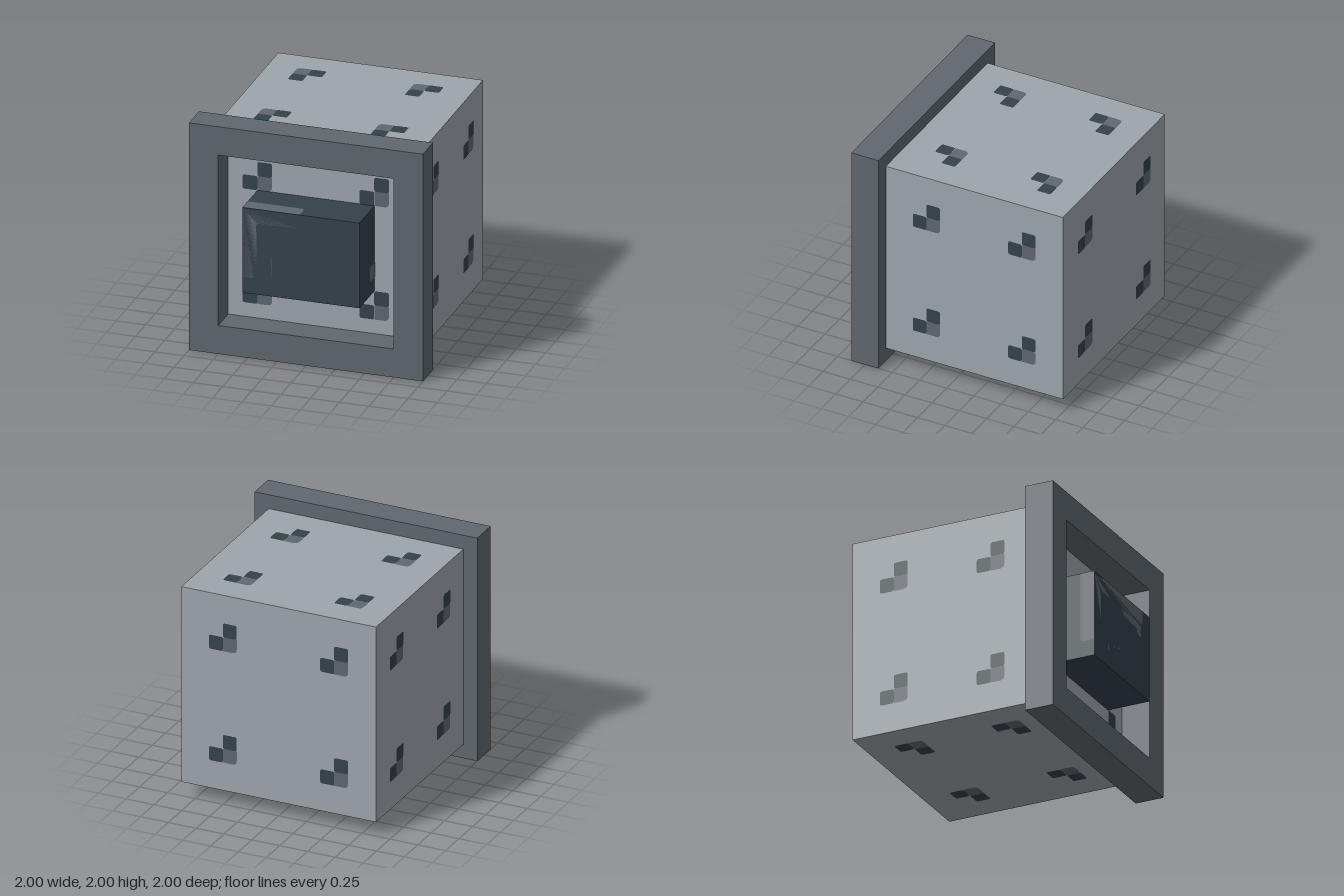
import * as THREE from 'three';

const mat = (name, color) => {
  const m = new THREE.MeshStandardMaterial({ color });
  m.name = name;
  return m;
};

// Polygon with softened corners; points are [x, y, radius] in counter-clockwise order
function roundedShape(points) {
  const shape = new THREE.Shape();
  const n = points.length;
  const toward = (a, b, r) => {
    const len = Math.hypot(b[0] - a[0], b[1] - a[1]);
    return [a[0] + (b[0] - a[0]) * r / len, a[1] + (b[1] - a[1]) * r / len];
  };
  points.forEach((p, i) => {
    const r = p[2] || 0;
    const start = toward(p, points[(i + n - 1) % n], r);
    const end = toward(p, points[(i + 1) % n], r);
    if (i === 0) shape.moveTo(...start); else shape.lineTo(...start);
    if (r > 0) shape.quadraticCurveTo(p[0], p[1], ...end);
  });
  shape.closePath();
  return shape;
}

const rect = (x0, y0, x1, y1, r = [0, 0, 0, 0]) =>
  roundedShape([[x0, y0, r[0]], [x1, y0, r[1]], [x1, y1, r[2]], [x0, y1, r[3]]]);

export function createModel() {
  const model = new THREE.Group();
  model.name = 'framedBlock';
  const light = mat('lightGrey', 0x9da5ac);
  const mid = mat('midGrey', 0x5f676e);
  const dark = mat('darkSlate', 0x35414a);

  const add = (parent, name, geometry, material, x = 0, y = 0, z = 0) => {
    const mesh = new THREE.Mesh(geometry, material);
    mesh.name = name;
    mesh.position.set(x, y, z);
    parent.add(mesh);
    return mesh;
  };
  const paint = (parent, name, shape, material, lift = 0.003) =>
    add(parent, name, new THREE.ShapeGeometry(shape, 4), material, 0, 0, lift);

  // Main body
  add(model, 'body', new THREE.BoxGeometry(1.75, 1.75, 1.625), light, 0, 1, -0.1875);

  // Square front frame
  const frameShape = rect(-1, -1, 1, 1);
  frameShape.holes.push(rect(-0.75, -0.75, 0.75, 0.75));
  const frameGeometry = new THREE.ExtrudeGeometry(frameShape, { depth: 0.25, bevelEnabled: false });
  add(model, 'frontFrame', frameGeometry, mid, 0, 1, 0.625);

  // Three-cell marks, four on every face of the body
  const c = 0.125, s = 0.018;
  const dent = rect(0, -c, c, 0, [0, 0.04, 0, 0]);
  const lowCell = rect(-c, -c, 0, 0, [s, s, s, s]);
  const highCell = rect(0, 0, c, c, [s, s, s, s]);
  const H = Math.PI / 2;
  const faces = [
    { name: 'front', pos: [0, 1, 0.625], rot: [0, 0], us: [-0.5, 0.5], vs: [-0.5, 0.5], turn: 0 },
    { name: 'back', pos: [0, 1, -1], rot: [0, Math.PI], us: [-0.5, 0.5], vs: [-0.5, 0.5], turn: 0 },
    { name: 'left', pos: [0.875, 1, 0], rot: [0, H], us: [-0.25, 0.625], vs: [-0.5, 0.5], turn: 0 },
    { name: 'right', pos: [-0.875, 1, 0], rot: [0, -H], us: [-0.625, 0.25], vs: [-0.5, 0.5], turn: 0 },
    { name: 'top', pos: [0, 1.875, 0], rot: [-H, 0], us: [-0.5, 0.5], vs: [-0.25, 0.625], turn: Math.PI },
    { name: 'bottom', pos: [0, 0.125, 0], rot: [H, 0], us: [-0.5, 0.5], vs: [-0.625, 0.25], turn: Math.PI },
  ];
  for (const f of faces) {
    const face = new THREE.Group();
    face.name = f.name + 'Marks';
    face.position.set(...f.pos);
    face.rotation.set(f.rot[0], f.rot[1], 0);
    for (const u of f.us) for (const v of f.vs) {
      const mark = new THREE.Group();
      mark.name = 'mark';
      mark.position.set(u, v, 0);
      mark.rotation.z = f.turn;
      paint(mark, 'markShade', dent, mid);
      paint(mark, 'markLowCell', lowCell, dark, 0.004);
      paint(mark, 'markHighCell', highCell, dark, 0.004);
      face.add(mark);
    }
    model.add(face);
  }

  // Protruding core inside the frame
  const core = new THREE.Group();
  core.name = 'core';
  core.position.set(0, 1, 0);
  model.add(core);
  add(core, 'coreBlock', new THREE.BoxGeometry(1, 0.75, 0.375), dark, 0, 0, 0.8125);

  // Painted patches on the core front
  const frontPaint = new THREE.Group();
  frontPaint.name = 'coreFrontPaint';
  frontPaint.position.z = 0.997;
  core.add(frontPaint);
  paint(frontPaint, 'outerPatch', roundedShape([
    [-0.5, 0.375], [-0.5, -0.235], [-0.37, -0.235, 0.05], [-0.385, 0.25, 0.03], [0.02, 0.25, 0.04],
    [0.02, 0.165, 0.03], [0.25, 0.165, 0.03], [0.3, 0.13, 0.02], [0.345, 0.13, 0.02],
    [0.345, 0.23, 0.02], [0.37, 0.27, 0.02], [0.37, 0.375],
  ]), mid);
  paint(frontPaint, 'innerPatch', roundedShape([
    [-0.25, 0, 0.03], [-0.25, -0.23, 0.02], [-0.13, -0.23, 0.05], [-0.13, -0.145, 0.02],
    [0.27, -0.125, 0.05], [0.27, 0, 0.05],
  ]), mid);

  // Painted patches on the core sides
  const topPaint = paint(core, 'coreTopPatch', rect(-0.5, -1, -0.01, -0.875, [0, 0, 0.03, 0]), mid);
  topPaint.rotation.x = -H;
  topPaint.position.set(0, 0.378, 0);
  const leftPaint = paint(core, 'coreLeftPatch', rect(-0.75, -0.25, -0.625, -0.125, [0.03, 0, 0, 0.03]), mid);
  leftPaint.rotation.y = H;
  leftPaint.position.set(0.503, 0, 0);
  const rightPaint = paint(core, 'coreRightPatch', rect(0.875, -0.235, 1, 0.375, [0.03, 0, 0, 0]), mid);
  rightPaint.rotation.y = -H;
  rightPaint.position.set(-0.503, 0, 0);

  return model;
}
